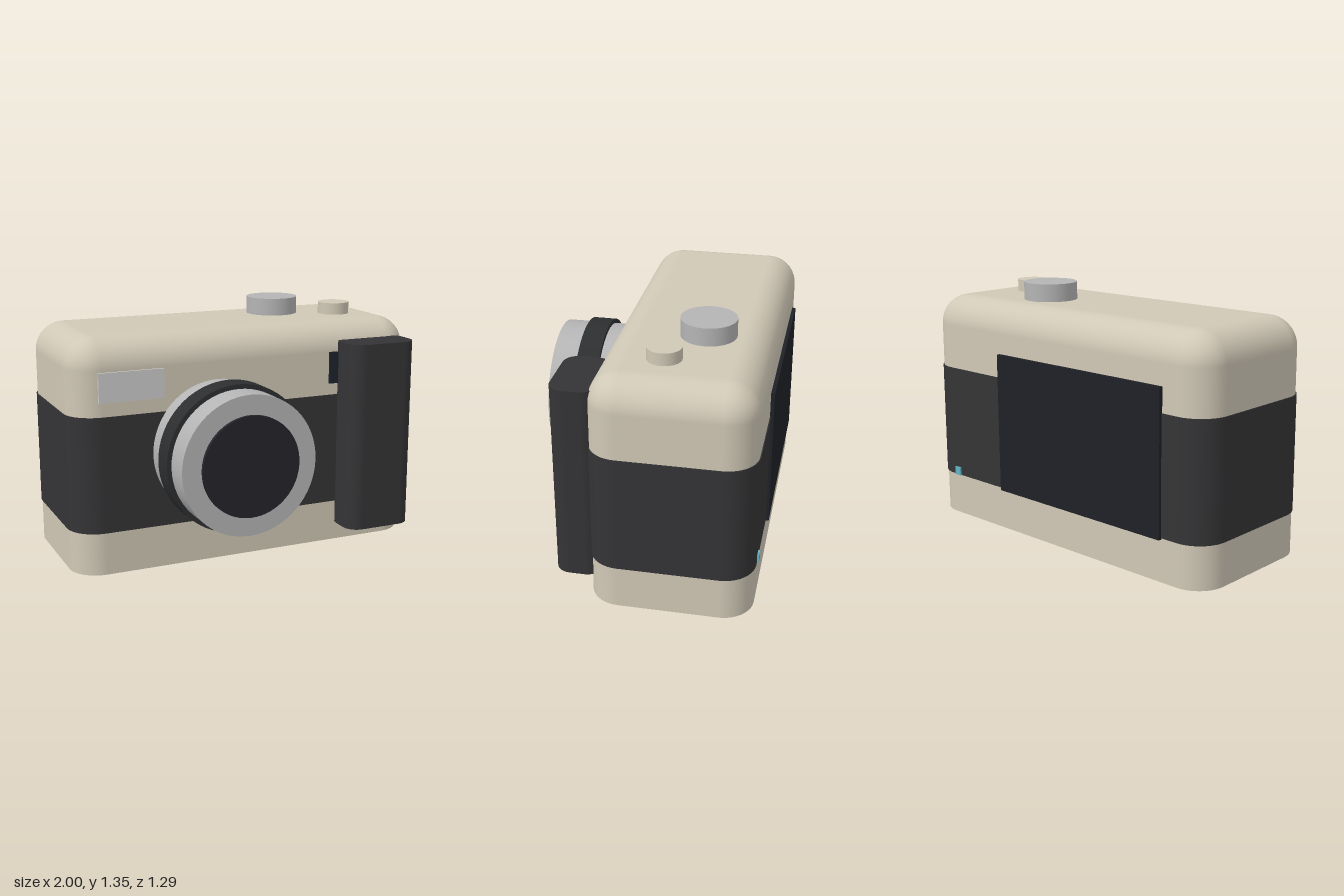
import * as THREE from 'three';

const BEIGE = 0xd0c8b6, LEATHER = 0x343436, SILVER = 0xb4b4b4, GLASS = 0x23242b, RING = 0x2c2e30;
const BODY_Z = -0.2075;

// Upright prism with rounded vertical corners; optionally its top edge is rounded by the same radius.
function roundedPrism(halfW, halfD, r, y0, y1, domed) {
  const steps = 10, pos = [], nor = [], idx = [];
  const ring = (y, phi, capNormal) => {
    const start = pos.length / 3, c = Math.cos(phi), s = Math.sin(phi);
    for (let q = 0; q < 4; q++) {
      const sx = q === 0 || q === 3 ? 1 : -1, sz = q < 2 ? 1 : -1;
      for (let i = 0; i <= steps; i++) {
        const a = (q + i / steps) * Math.PI / 2, ca = Math.cos(a), sa = Math.sin(a);
        pos.push(sx * (halfW - r) + r * c * ca, y, sz * (halfD - r) + r * c * sa);
        if (capNormal) nor.push(0, capNormal, 0);
        else nor.push(ca * c, s, sa * c);
      }
    }
    return start;
  };
  const n = 4 * (steps + 1);
  const join = (a, b) => {
    for (let i = 0; i < n; i++) {
      const j = (i + 1) % n;
      idx.push(a + i, b + i, b + j, a + i, b + j, a + j);
    }
  };
  // walls, then the rounded shoulder
  let prev = ring(y0, 0);
  const layers = domed ? steps : 0;
  for (let k = 0; k <= layers; k++) {
    const phi = domed ? k / layers * Math.PI / 2 : 0;
    const next = ring(domed ? y1 - r + r * Math.sin(phi) : y1, phi);
    join(prev, next);
    prev = next;
  }
  // flat caps
  const top = ring(y1, domed ? Math.PI / 2 : 0, 1), bottom = ring(y0, 0, -1);
  for (let i = 1; i < n - 1; i++) {
    idx.push(top, top + i + 1, top + i);
    idx.push(bottom, bottom + i, bottom + i + 1);
  }
  const g = new THREE.BufferGeometry();
  g.setAttribute('position', new THREE.Float32BufferAttribute(pos, 3));
  g.setAttribute('normal', new THREE.Float32BufferAttribute(nor, 3));
  g.setIndex(idx);
  return g;
}

export function createModel() {
  const model = new THREE.Group();
  model.name = 'camera';

  const add = (name, geometry, color, x = 0, y = 0, z = 0) => {
    const mesh = new THREE.Mesh(geometry, new THREE.MeshStandardMaterial({ color }));
    mesh.name = name;
    mesh.position.set(x, y, z);
    model.add(mesh);
    return mesh;
  };
  // Box given by its limits on each axis
  const box = (name, color, x0, x1, y0, y1, z0, z1) =>
    add(name, new THREE.BoxGeometry(x1 - x0, y1 - y0, z1 - z0), color,
      (x0 + x1) / 2, (y0 + y1) / 2, (z0 + z1) / 2);

  // Body shell and leather wrap
  add('body', roundedPrism(0.994, 0.4175, 0.16, 0, 1.25, true), BEIGE, 0, 0, BODY_Z);
  add('leatherBand', roundedPrism(1, 0.4225, 0.165, 0.23, 0.85, false), LEATHER, 0, 0, BODY_Z);

  // Hand grip
  add('grip', roundedPrism(0.198, 0.12, 0.08, 0.105, 1.15, false), LEATHER, 0.713, 0, 0.28);

  // Lens, stacked along z
  const lens = (name, color, r, z0, z1) => {
    const g = new THREE.CylinderGeometry(r, r, z1 - z0, 64).rotateX(Math.PI / 2);
    add(name, g, color, -0.2, 0.628, (z0 + z1) / 2);
  };
  lens('lensBarrel', SILVER, 0.368, 0.15, 0.625);
  lens('focusRing', RING, 0.392, 0.355, 0.48);
  lens('lensGlass', GLASS, 0.265, 0.6, 0.645);

  // Top controls
  add('modeDial', new THREE.CylinderGeometry(0.144, 0.144, 0.115, 48), SILVER, 0.355, 1.2875, -0.295);
  add('shutterButton', new THREE.CylinderGeometry(0.088, 0.088, 0.085, 40), BEIGE, 0.672, 1.2725, -0.13);

  // Front windows
  box('flash', 0xd6d6d6, -0.855, -0.503, 0.925, 1.08, 0.19, 0.222);
  box('viewfinderWindow', 0x1c232d, 0.465, 0.64, 0.915, 1.09, 0.19, 0.222);

  // Back screen and indicator light
  box('screen', 0x1e2126, -0.737, 0.412, 0.222, 0.98, -0.645, -0.61);
  box('indicatorLight', 0x5fb4c8, 0.767, 0.811, 0.23, 0.275, -0.64, -0.61);

  return model;
}
